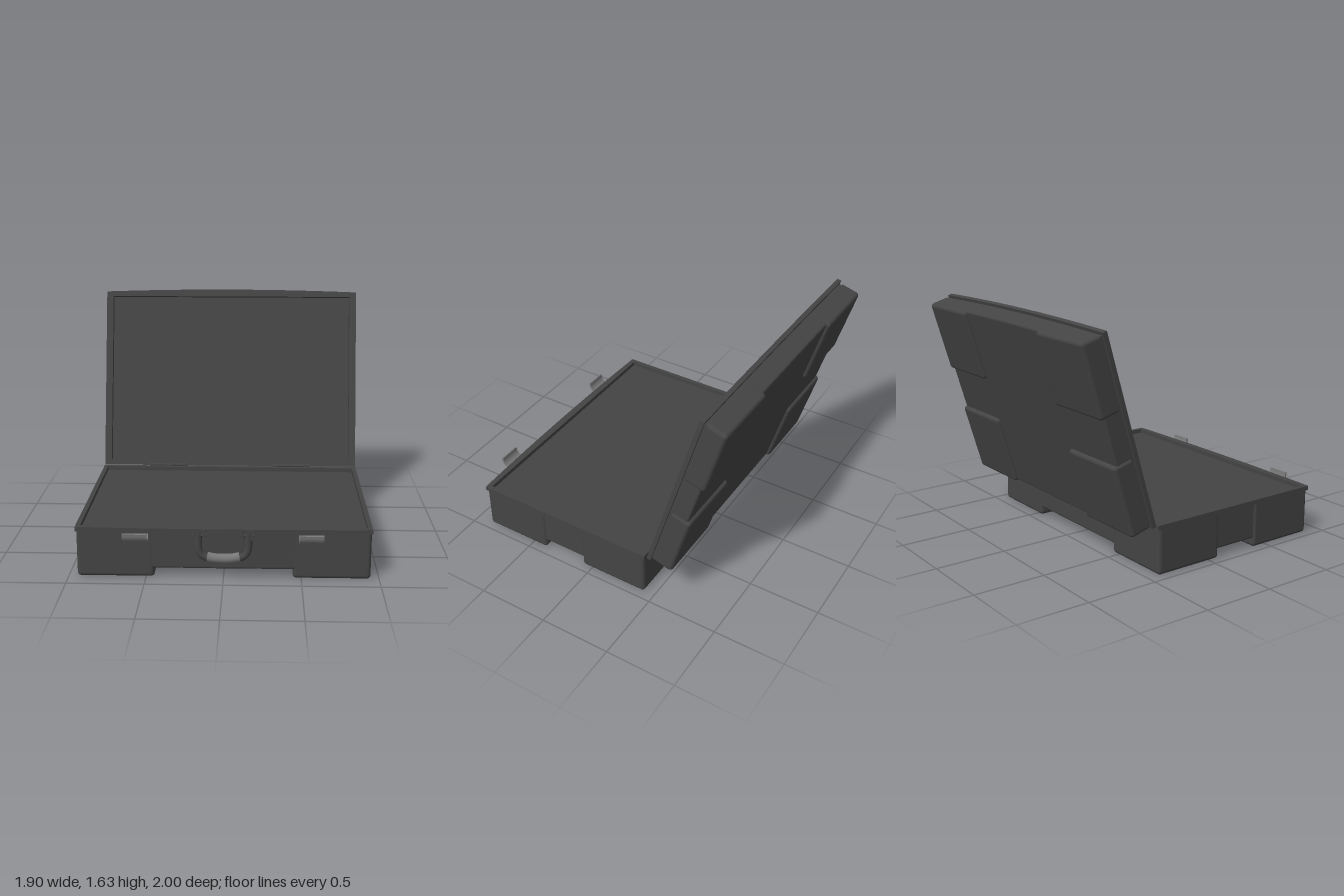
import * as THREE from 'three';
import { RoundedBoxGeometry } from 'three/addons/geometries/RoundedBoxGeometry.js';

const shell = new THREE.MeshStandardMaterial({ color: 0x444444 });
const metal = new THREE.MeshStandardMaterial({ color: 0x777777 });

function add(parent, name, geometry, material = shell) {
  const mesh = new THREE.Mesh(geometry, material);
  mesh.name = name;
  parent.add(mesh);
  return mesh;
}

// Rectangle whose far edge bows gently outwards
function outline(halfWidth, near, far, bow) {
  const s = new THREE.Shape();
  s.moveTo(-halfWidth, near);
  s.lineTo(halfWidth, near);
  s.lineTo(halfWidth, far);
  s.quadraticCurveTo(0, far + 2 * bow, -halfWidth, far);
  s.closePath();
  return s;
}

function slab(shape, from, to, bevel = 0) {
  const g = new THREE.ExtrudeGeometry(shape, {
    depth: to - from - 2 * bevel, curveSegments: 16, bevelEnabled: bevel > 0,
    bevelThickness: bevel, bevelSize: bevel, bevelOffset: -bevel, bevelSegments: 3,
  });
  return g.translate(0, 0, from + bevel);
}

// Half of the case: x across, y away from the hinge, z = depth below the opening
function makeTray(name, o) {
  const tray = new THREE.Group();
  tray.name = name;
  const cavity = new THREE.Path([
    [-o.inX, o.inNear], [-o.inX, o.inFar], [o.inX, o.inFar], [o.inX, o.inNear],
  ].map(([x, y]) => new THREE.Vector2(x, y)));

  const rim = outline(0.95, 0, 1.325, 0.018);
  rim.holes.push(cavity);
  add(tray, 'rim', slab(rim, 0, 0.03));

  const wall = outline(0.935, 0.015, 1.305, 0.018);
  wall.holes.push(cavity);
  add(tray, 'wall', slab(wall, 0.02, o.cavity + 0.03));
  add(tray, 'body', slab(outline(0.935, 0.015, 1.305, 0.018), o.cavity, o.body, 0.015));

  // Protective corner blocks, flat where they meet the rim
  const r = 0.025, top = o.cavity + 0.003;
  for (const x of [-0.695, 0.695]) for (const y of [0.26, 1.07]) {
    const g = new RoundedBoxGeometry(0.5, 0.5, o.corner - top + r, 4, r);
    g.translate(x, y, (o.corner + top - r) / 2);
    const p = g.attributes.position;
    for (let i = 0; i < p.count; i++) p.setZ(i, Math.max(p.getZ(i), top));
    add(tray, 'cornerBlock', g);
  }
  return tray;
}

function makeHandle() {
  const handle = new THREE.Group();
  handle.name = 'handle';
  const v = (x, y) => new THREE.Vector3(x, y, 0.885);
  const path = new THREE.CurvePath();
  path.add(new THREE.LineCurve3(v(-0.16, 0.31), v(-0.16, 0.215)));
  path.add(new THREE.QuadraticBezierCurve3(v(-0.16, 0.215), v(-0.155, 0.14), v(-0.08, 0.138)));
  path.add(new THREE.LineCurve3(v(-0.08, 0.138), v(0.08, 0.138)));
  path.add(new THREE.QuadraticBezierCurve3(v(0.08, 0.138), v(0.155, 0.14), v(0.16, 0.215)));
  path.add(new THREE.LineCurve3(v(0.16, 0.215), v(0.16, 0.31)));
  add(handle, 'handleBow', new THREE.TubeGeometry(path, 60, 0.025, 12));

  const grip = new THREE.CatmullRomCurve3([v(-0.105, 0.148), v(-0.05, 0.138), v(0.05, 0.138), v(0.105, 0.148)]);
  const gripGeo = new THREE.TubeGeometry(grip, 16, 0.033, 14);
  add(handle, 'handleGrip', gripGeo, metal);
  for (const end of [0, 1]) {
    const p = grip.getPoint(end);
    const cap = add(handle, 'gripEnd', new THREE.CircleGeometry(0.033, 14), metal);
    cap.position.copy(p);
    cap.lookAt(p.clone().addScaledVector(grip.getTangent(end), end ? 1 : -1));
  }

  // Bracket ears and pivot pins
  for (const side of [-1, 1]) {
    for (const x of [0.122, 0.182]) {
      add(handle, 'handleBracket', new THREE.BoxGeometry(0.016, 0.065, 0.04)).position.set(side * x, 0.302, 0.89);
    }
    const pin = add(handle, 'handlePin', new THREE.CylinderGeometry(0.01, 0.01, 0.085, 10));
    pin.rotation.z = Math.PI / 2;
    pin.position.set(side * 0.152, 0.295, 0.895);
  }
  return handle;
}

// Curved open clasp, profile in (z, y) drawn out across x
function latchGeometry() {
  const line = new THREE.CatmullRomCurve3([
    [0.993, 0.335], [0.987, 0.305], [0.967, 0.28], [0.93, 0.27], [0.885, 0.292],
  ].map(([z, y]) => new THREE.Vector3(z, y, 0)));
  const side = (t, d) => {
    const p = line.getPoint(t), n = line.getTangent(t);
    return new THREE.Vector2(p.x - n.y * d, p.y + n.x * d);
  };
  const pts = [];
  for (let i = 0; i <= 14; i++) pts.push(side(i / 14, 0.007));
  for (let i = 14; i >= 0; i--) pts.push(side(i / 14, -0.007));
  const g = new THREE.ExtrudeGeometry(new THREE.Shape(pts), { depth: 0.155, bevelEnabled: false });
  return g.translate(0, 0, -0.0775).rotateY(-Math.PI / 2);
}

export function createModel() {
  const model = new THREE.Group();
  model.name = 'openBriefcase';

  const base = makeTray('base', {
    inX: 0.92, inNear: 0.033, inFar: 1.29, cavity: 0.03, body: 0.278, corner: 0.34,
  });
  base.rotation.x = Math.PI / 2;
  base.position.set(0, 0.34, -0.435);
  model.add(base);

  const lid = makeTray('lid', {
    inX: 0.9, inNear: 0.04, inFar: 1.29, cavity: 0.05, body: 0.162, corner: 0.186,
  });
  lid.rotation.set(-0.284, Math.PI, 0);
  lid.position.set(0, 0.338, -0.453);
  model.add(lid);

  model.add(makeHandle());

  for (const side of [-1, 1]) {
    add(model, 'latch', latchGeometry(), metal).position.x = side * 0.557;

    // Hinge with three knuckles
    const hinge = new THREE.Group();
    hinge.name = 'hinge';
    hinge.position.set(side * 0.463, 0.345, -0.44);
    for (const x of [-0.095, 0, 0.095]) {
      const knuckle = add(hinge, 'knuckle', new THREE.CylinderGeometry(0.013, 0.013, 0.092, 12));
      knuckle.rotation.z = Math.PI / 2;
      knuckle.position.x = x;
    }
    add(hinge, 'hingeLeaf', new THREE.BoxGeometry(0.285, 0.03, 0.012)).position.set(0, -0.018, -0.006);
    model.add(hinge);
  }
  return model;
}
